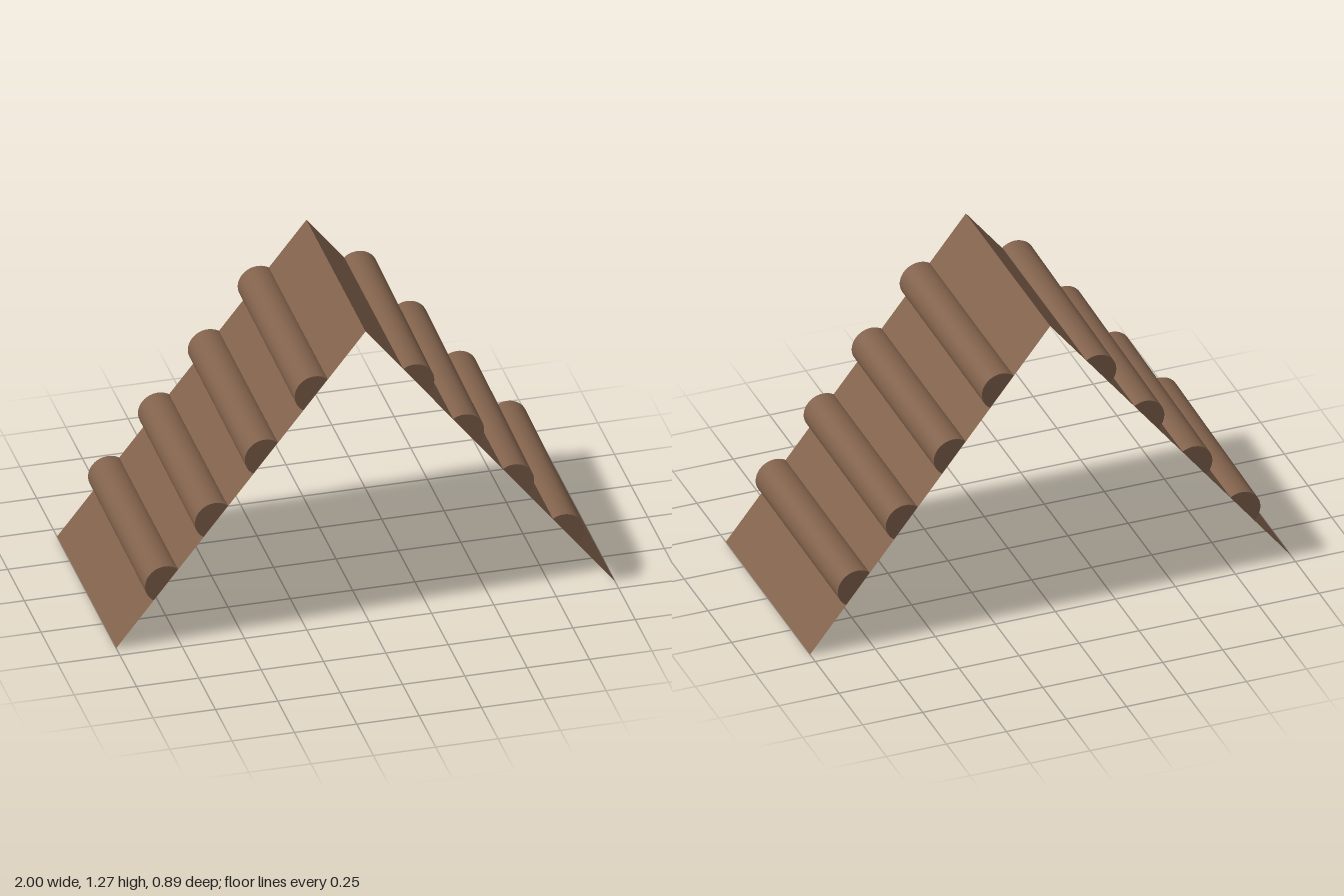
import * as THREE from 'three';

const HEIGHT = 1.27, DEPTH = 0.89, RADIUS = 0.08;
const SLOPE = Math.hypot(1, HEIGHT);

// Round rung sunk halfway into the board: whatever lies below the board is flattened onto it
function rungGeometry() {
  const g = new THREE.CylinderGeometry(RADIUS, RADIUS, DEPTH, 40);
  g.rotateX(Math.PI / 2);
  const p = g.attributes.position;
  for (let i = 0; i < p.count; i++) {
    const y = p.getY(i) - p.getZ(i) * 0.0124; // rungs are tilted very slightly
    p.setY(i, Math.max(0.001, y));
  }
  return g;
}

export function createModel() {
  const model = new THREE.Group();
  model.name = 'rungedRamp';
  const wood = new THREE.MeshStandardMaterial({ color: 0x80614b, side: THREE.DoubleSide });
  wood.name = 'brown wood';

  // Thin sloping board, running from the ridge along local +x
  const boardGeometry = new THREE.PlaneGeometry(SLOPE, DEPTH);
  boardGeometry.rotateX(-Math.PI / 2);
  boardGeometry.translate(SLOPE / 2, 0, 0);
  const rung = rungGeometry();

  for (const side of ['left', 'right']) {
    const half = new THREE.Group();
    half.name = side + 'Half';
    if (side === 'right') half.rotation.y = Math.PI;

    const ramp = new THREE.Group();
    ramp.name = side + 'Ramp';
    ramp.position.y = HEIGHT;
    ramp.rotation.z = -Math.atan2(HEIGHT, 1);
    half.add(ramp);

    const board = new THREE.Mesh(boardGeometry, wood);
    board.name = side + 'Board';
    ramp.add(board);

    // Four evenly spaced rungs
    for (let i = 1; i <= 4; i++) {
      const m = new THREE.Mesh(rung, wood);
      m.name = side + 'Rung' + i;
      m.position.x = SLOPE * i / 5;
      ramp.add(m);
    }
    model.add(half);
  }
  return model;
}
